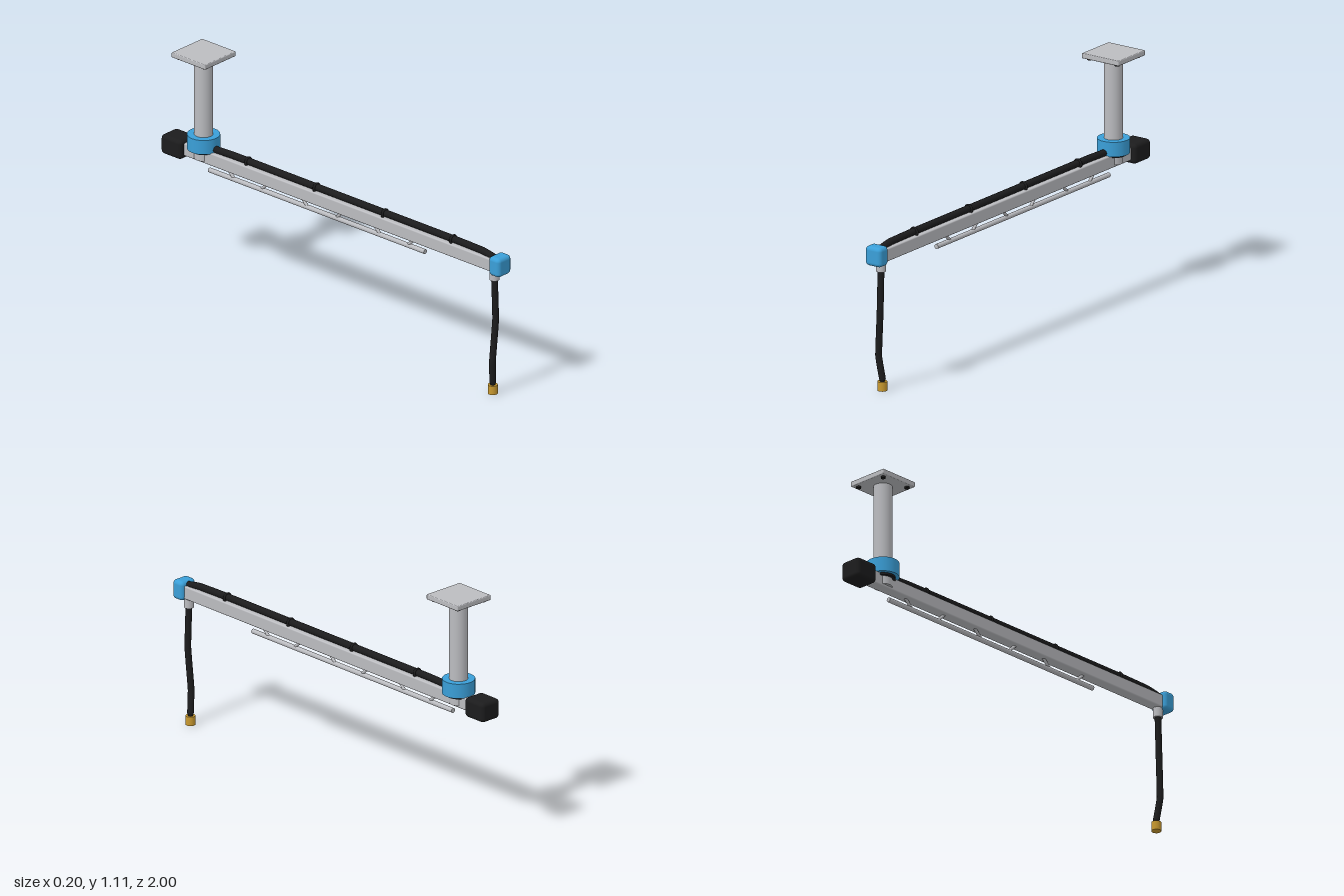
import * as THREE from 'three';
import { RoundedBoxGeometry } from 'three/addons/geometries/RoundedBoxGeometry.js';

const material = (name, color) => {
  const m = new THREE.MeshStandardMaterial({ color });
  m.name = name;
  return m;
};

export function createModel() {
  const model = new THREE.Group();
  const steel = material('steel grey', 0xbbbcc0);
  const blue = material('joint blue', 0x3a9fd8);
  const black = material('rubber black', 0x1c1c1d);
  const brass = material('brass', 0xc9992f);

  const add = (name, geometry, mat, x, y, z) => {
    const mesh = new THREE.Mesh(geometry, mat);
    mesh.name = name;
    mesh.position.set(x, y, z);
    model.add(mesh);
    return mesh;
  };
  const box = (name, w, h, d, r, mat, x, y, z) =>
    add(name, new RoundedBoxGeometry(w, h, d, 3, r), mat, x, y, z);
  // Upright cylinder between two heights
  const post = (name, r, y0, y1, mat, x, z, sides = 28) =>
    add(name, new THREE.CylinderGeometry(r, r, y1 - y0, sides), mat, x, (y0 + y1) / 2, z);
  // Round rod between two points
  const rod = (name, a, b, r, mat) => {
    const dir = b.clone().sub(a);
    const mid = a.clone().add(b).multiplyScalar(0.5);
    const mesh = add(name, new THREE.CylinderGeometry(r, r, dir.length(), 12), mat, mid.x, mid.y, mid.z);
    mesh.quaternion.setFromUnitVectors(new THREE.Vector3(0, 1, 0), dir.normalize());
  };
  // Bent hose through a few points, with closed ends
  const hose = (name, points, r) => {
    const path = new THREE.CurvePath();
    const pts = points.map((p) => new THREE.Vector3(...p));
    const curve = new THREE.CatmullRomCurve3(pts, false, 'catmullrom', 0.15);
    path.add(curve);
    add(name, new THREE.TubeGeometry(curve, 48, r, 12), black, 0, 0, 0);
    pts.slice(0, 1).concat(pts.slice(-1)).forEach((p) =>
      add(name + 'End', new THREE.SphereGeometry(r, 12, 8), black, p.x, p.y, p.z));
  };

  // Ceiling mount
  const pz = -0.79;
  box('ceilingPlate', 0.2, 0.024, 0.2, 0.004, steel, 0, 1.102, pz);
  for (const sx of [-1, 1]) {
    for (const sz of [-1, 1]) {
      post('plateBolt', 0.011, 1.082, 1.092, black, sx * 0.075, pz + sz * 0.075, 12);
    }
  }
  post('column', 0.042, 0.7, 1.092, steel, 0, pz);

  // Swivel joint
  post('swivelCollar', 0.073, 0.652, 0.72, blue, 0, pz);
  post('swivelSeal', 0.056, 0.642, 0.653, black, 0, pz);
  post('swivelPin', 0.042, 0.605, 0.645, steel, 0, pz);

  // Boom with its end pieces
  box('boom', 0.056, 0.06, 1.84, 0.006, steel, 0, 0.625, 0.03);
  box('counterweight', 0.106, 0.092, 0.12, 0.018, black, 0, 0.625, -0.94);
  box('headCap', 0.086, 0.09, 0.065, 0.018, blue, 0, 0.63, 0.967);

  // Supply hose and its clips along the boom
  hose('boomHose', [[0, 0.655, 0.935], [0, 0.667, 0.87], [0, 0.67, 0.7], [0, 0.67, 0], [0, 0.67, -0.6], [0, 0.666, -0.73]], 0.016);
  for (const z of [0.69, 0.285, -0.12, -0.525]) {
    add('hoseClip', new THREE.TorusGeometry(0.018, 0.006, 8, 20), black, 0, 0.667, z);
  }

  // Hanging hose with its fittings
  post('hoseOutlet', 0.022, 0.55, 0.6, steel, 0, 0.935, 20);
  hose('dropHose', [[0, 0.56, 0.935], [0, 0.36, 0.942], [-0.013, 0.16, 0.935], [0, 0.055, 0.925]], 0.015);
  post('hoseCore', 0.012, 0.03, 0.06, black, 0, 0.925, 12);
  post('brassNozzle', 0.022, 0, 0.042, brass, 0, 0.925, 20);

  // Rail under the boom on slanted struts
  rod('lowerRail', new THREE.Vector3(0, 0.557, 0.525), new THREE.Vector3(0, 0.557, -0.755), 0.011, steel);
  [0.445, 0.235, 0.02, -0.195, -0.425, -0.63].forEach((z, i) => {
    const s = i % 2 ? -0.025 : 0.025;
    rod('railStrut', new THREE.Vector3(0, 0.605, z + s), new THREE.Vector3(0, 0.557, z - s), 0.007, steel);
  });

  return model;
}
